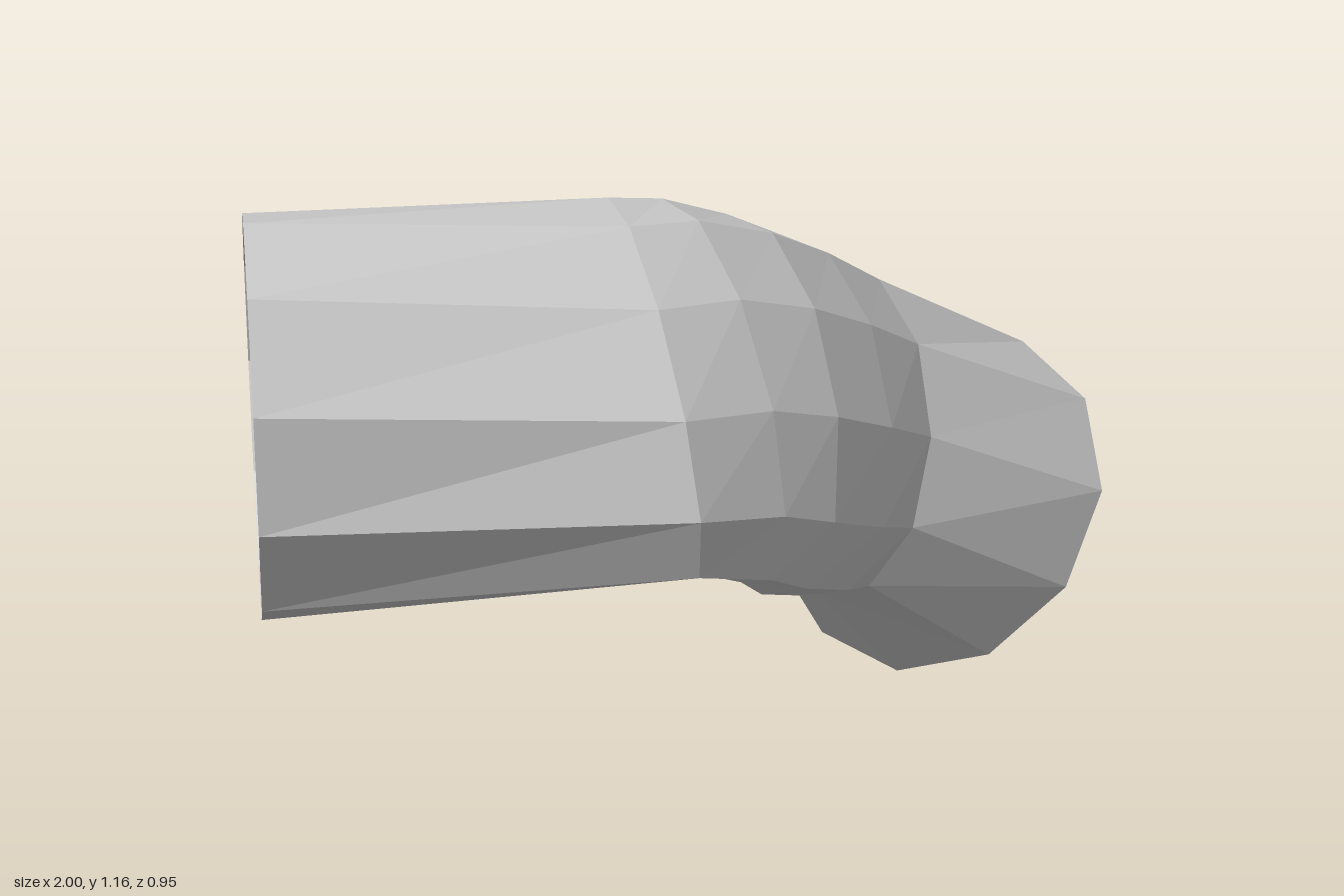
import * as THREE from 'three';

const SIDES = 11;
const PHASE = 0.12;

// Elliptical cross-sections along the tube: centre x, y, z, upright and sideways radii,
// tilt (tips the ellipse backwards), and how far x leans per unit of y and z.
const RINGS = [
  [-0.805, 0.80, -0.165, 0.362, 0.303, 0.0, 0.0, -0.65],
  [-0.215, 0.82, 0.213, 0.358, 0.195, 0.66, -0.1, -0.5],
  [-0.07, 0.78, 0.213, 0.367, 0.205, 0.56, 0.0, -0.22],
  [0.06, 0.725, 0.195, 0.36, 0.205, 0.57, 0.25, -0.03],
  [0.23, 0.655, 0.14, 0.352, 0.195, 0.62, 0.4, 0.1],
  [0.39, 0.58, 0.072, 0.325, 0.18, 0.67, 0.65, 0.245],
  [0.79, 0.308, -0.015, 0.305, 0.36, -0.35, 0.676, 0.22],
];

function ringPoint([cx, cy, cz, rUp, rSide, tilt, leanY, leanZ], k) {
  const a = PHASE + tilt + (k / SIDES) * Math.PI * 2;
  const up = rUp * Math.cos(a);
  const side = rSide * Math.sin(a);
  const dy = up * Math.cos(tilt) + side * Math.sin(tilt);
  const dz = side * Math.cos(tilt) - up * Math.sin(tilt);
  return [cx + leanY * dy + leanZ * dz, cy + dy, cz + dz];
}

// Skin a list of rings as an open tube
function loftRings(rings) {
  const positions = [];
  const index = [];
  for (const ring of rings) {
    for (let k = 0; k < SIDES; k++) positions.push(...ringPoint(ring, k));
  }
  for (let r = 0; r < rings.length - 1; r++) {
    for (let k = 0; k < SIDES; k++) {
      const a = r * SIDES + k;
      const b = r * SIDES + ((k + 1) % SIDES);
      const c = a + SIDES;
      const d = b + SIDES;
      index.push(a, b, c, b, d, c);
    }
  }
  const geometry = new THREE.BufferGeometry();
  geometry.setAttribute('position', new THREE.Float32BufferAttribute(positions, 3));
  geometry.setIndex(index);
  geometry.computeVertexNormals();
  return geometry;
}

export function createModel() {
  const group = new THREE.Group();
  group.name = 'bentSleeve';

  // Open-ended bent sleeve, flared at both ends
  const material = new THREE.MeshStandardMaterial({
    color: 0xcccccc,
    flatShading: true,
    side: THREE.DoubleSide,
  });
  const sleeve = new THREE.Mesh(loftRings(RINGS), material);
  sleeve.name = 'sleeve';
  group.add(sleeve);

  return group;
}
